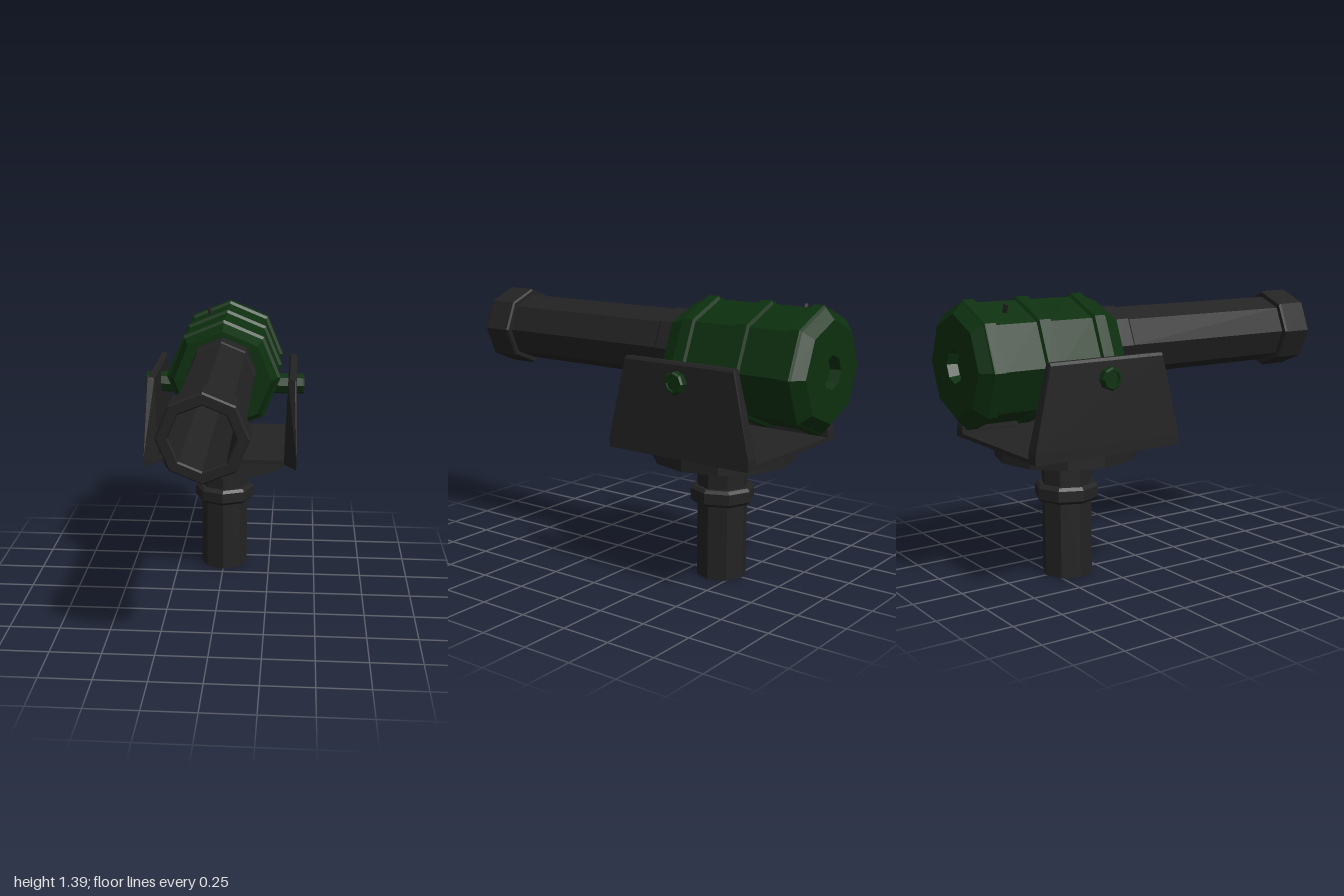
import * as THREE from 'three';
import { ConvexGeometry } from 'three/addons/geometries/ConvexGeometry.js';

const gunGrey = new THREE.MeshStandardMaterial({ color: 0x232323 });
gunGrey.name = 'gun grey';
const darkGreen = new THREE.MeshStandardMaterial({ color: 0x0d300f });
darkGreen.name = 'dark green';

const PIVOT_Z = -0.415;

// Faceted solid of revolution around y; profile is [radius, height] pairs
function turned(profile, sides) {
  const pts = profile.map(([r, h]) => new THREE.Vector2(r, h));
  const geo = new THREE.LatheGeometry(pts, sides).toNonIndexed();
  geo.computeVertexNormals();
  return geo;
}

export function createModel() {
  const model = new THREE.Group();
  model.name = 'mountedCannon';
  const add = (name, geo, mat, x = 0, y = 0, z = 0) => {
    const mesh = new THREE.Mesh(geo, mat);
    mesh.name = name;
    mesh.position.set(x, y, z);
    model.add(mesh);
    return mesh;
  };

  // Post with its collar
  add('post', turned([[0, 0], [0.125, 0], [0.125, 0.6]], 8), gunGrey, 0, 0, PIVOT_Z);
  add('postCollar', turned([
    [0.125, 0.38], [0.145, 0.38], [0.16, 0.395], [0.16, 0.448], [0.145, 0.463], [0.125, 0.463],
  ], 8), gunGrey, 0, 0, PIVOT_Z);

  // Turntable below the cradle, open on top
  add('turntable', turned([[0, 0.6], [0.35, 0.6], [0.35, 0.67]], 12), gunGrey, 0, 0, PIVOT_Z);

  // Cradle floor and its wider underside
  add('cradleFloor', new THREE.BoxGeometry(0.66, 0.02, 0.69), gunGrey, 0, 0.681, -0.465);
  add('cradleUnderside', new THREE.PlaneGeometry(0.78, 0.79).rotateX(Math.PI / 2), gunGrey, 0, 0.67, PIVOT_Z);

  // Side plates: tapered, with a slanted front edge
  const platePoints = [
    [0.392, 0.67, -0.02], [0.392, 0.72, -0.02], [0.385, 1.11, -0.11],
    [0.385, 1.11, -0.72], [0.392, 0.72, -0.81], [0.392, 0.67, -0.81],
    [0.375, 1.123, -0.11], [0.375, 1.123, -0.72],
    [0.35, 1.123, -0.12], [0.35, 1.123, -0.72],
    [0.342, 1.11, -0.12], [0.342, 1.11, -0.72],
    [0.327, 0.67, -0.12], [0.327, 0.67, -0.81], [0.327, 0.72, -0.81],
  ];
  for (const side of [1, -1]) {
    const label = side > 0 ? 'left' : 'right';
    const pts = platePoints.map(([x, y, z]) => new THREE.Vector3(side * x, y, z));
    add(label + 'SidePlate', new ConvexGeometry(pts), gunGrey);

    // Trunnion pin with a shallow dished end
    const pin = turned([
      [0.055, 0.2], [0.055, 0.415], [0.048, 0.425], [0.036, 0.425], [0.034, 0.415], [0, 0.415],
    ], 8);
    add(label + 'Trunnion', pin.rotateZ(-side * Math.PI / 2), darkGreen, 0, 1.03, PIVOT_Z);
  }

  // Breech housing: recessed rear, three bands, bevelled front
  const housing = [[0, -0.95], [0.07, -0.95], [0.08, -1], [0.24, -1], [0.29, -0.955]];
  for (const [a, b] of [[-0.945, -0.895], [-0.675, -0.615], [-0.378, -0.322]]) {
    housing.push([0.285, a - 0.008], [0.301, a], [0.301, b], [0.285, b + 0.008]);
  }
  housing[5] = [0.298, -0.95];
  housing.push([0.285, -0.31], [0.255, -0.235], [0, -0.235]);
  add('breechHousing', turned(housing, 8).rotateX(Math.PI / 2), darkGreen, 0, 1.085, 0);

  // Hollow barrel with rear sleeve and muzzle ring
  add('barrel', turned([
    [0.177, -0.24], [0.177, -0.13], [0.17, -0.12], [0.17, 0.835], [0.193, 0.835],
    [0.201, 0.845], [0.201, 0.99], [0.193, 1], [0.15, 1], [0.143, 0.99], [0.143, -0.24],
  ], 8).rotateX(Math.PI / 2), gunGrey, 0, 1.135, 0);

  // Small stud on the housing
  const stud = add('housingStud', new THREE.CylinderGeometry(0.012, 0.012, 0.07, 6), gunGrey, -0.103, 1.335, -0.79);
  stud.rotation.z = Math.PI / 8;

  return model;
}
